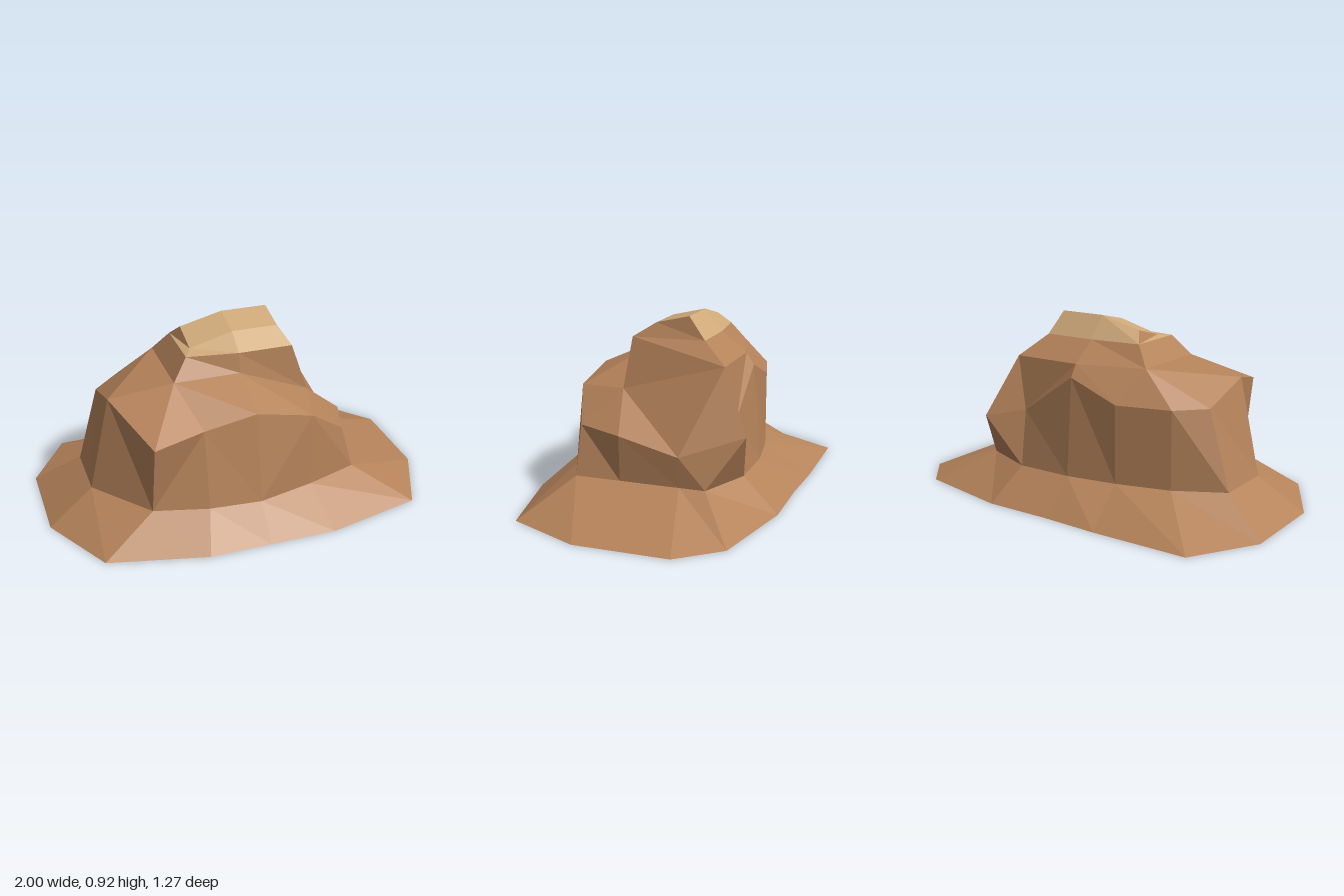
import * as THREE from 'three';

const rock = new THREE.MeshStandardMaterial({ color: 0xb5835a, side: THREE.DoubleSide, flatShading: true });
rock.name = 'brownRock';
const sand = new THREE.MeshStandardMaterial({ color: 0xd0aa7a, side: THREE.DoubleSide, flatShading: true });
sand.name = 'paleSand';

// Rings run back-left, back, right, front, left; each point is [x, y, z].
const atHeight = (y, points) => points.map(([x, z]) => [x, y, z]);

const foot = atHeight(0, [
  [-1, -0.32], [-0.8, -0.64], [-0.3, -0.64], [0, -0.625], [0.34, -0.625], [0.83, -0.52], [1, -0.32],
  [1, 0.15], [0.83, 0.52], [0.34, 0.635], [0, 0.635], [-0.31, 0.635], [-0.8, 0.52], [-1, 0.15],
]);
const cliffFoot = atHeight(0.16, [
  [-0.77, -0.2], [-0.53, -0.33], [-0.26, -0.4], [0, -0.44], [0.29, -0.44], [0.56, -0.33], [0.56, -0.2],
  [0.56, 0.1], [0.56, 0.33], [0.29, 0.42], [0, 0.49], [-0.26, 0.47], [-0.53, 0.4], [-0.77, 0.1],
]);
const cliffTop = [
  [-0.66, 0.55, -0.2], [-0.53, 0.55, -0.33], [-0.26, 0.55, -0.4], [0, 0.65, -0.4], [0.29, 0.445, -0.4],
  [0.47, 0.41, -0.5], [0.57, 0.31, -0.2], [0.57, 0.385, 0.1], [0.49, 0.4, 0.33], [0.29, 0.55, 0.41],
  [0, 0.61, 0.41], [-0.26, 0.55, 0.39], [-0.53, 0.55, 0.49], [-0.66, 0.645, 0.1],
];
const shoulder = [
  [-0.34, 0.71, -0.26], [0, 0.71, -0.36], [0.36, 0.71, -0.36],
  [0.36, 0.565, 0.16], [0, 0.71, 0.16], [-0.34, 0.71, 0.16],
];
const neck = [
  [-0.26, 0.81, -0.2], [0, 0.81, -0.23], [0.27, 0.81, -0.23],
  [0.28, 0.81, 0.14], [0, 0.81, 0.14], [-0.26, 0.81, 0.1],
];
const crest = [
  [-0.22, 0.865, -0.14], [0, 0.92, -0.14], [0.24, 0.92, -0.14],
  [0.24, 0.88, 0.03], [0, 0.88, 0.03], [-0.22, 0.82, 0.03],
];
// Which shoulder corner each cliff column meets
const columns = [0, 0, 0, 1, 2, 2, 2, 3, 3, 3, 4, 5, 5, 5];

// Triangles between two rings; segments in `flip` use the other diagonal.
function band(lower, upper, flip = []) {
  const triangles = [];
  lower.forEach((l0, i) => {
    const j = (i + 1) % lower.length;
    const l1 = lower[j], u0 = upper[i], u1 = upper[j];
    if (flip.includes(i)) triangles.push([l0, u0, l1], [l1, u0, u1]);
    else triangles.push([l0, u0, u1], [l0, u1, l1]);
  });
  return triangles.filter(([a, b, c]) => a !== b && b !== c && a !== c);
}

function facets(name, triangles, material) {
  const geometry = new THREE.BufferGeometry();
  geometry.setAttribute('position', new THREE.Float32BufferAttribute(triangles.flat(2), 3));
  geometry.computeVertexNormals();
  const mesh = new THREE.Mesh(geometry, material);
  mesh.name = name;
  return mesh;
}

export function createModel() {
  const group = new THREE.Group();
  group.name = 'mesa';

  // Sloping skirt, steep cliff and the shoulders above it
  group.add(facets('skirt', band(foot, cliffFoot), rock));
  group.add(facets('cliff', band(cliffFoot, cliffTop, [9, 11]), rock));
  group.add(facets('shoulder', band(cliffTop, columns.map((c) => shoulder[c]), [3]), rock));
  group.add(facets('upperSlope', band(shoulder, neck), rock));

  // Summit: pale sides, with rock showing at the right end and a chip at the left
  const sides = band(neck, crest, [5]);
  const isRock = (i) => i === 4 || i === 5 || i === 11;
  group.add(facets('summitEnds', sides.filter((_, i) => isRock(i)), rock));
  group.add(facets('summitSides', sides.filter((_, i) => !isRock(i)), sand));

  // Summit top: two quads split along the middle
  const [a, b, c, d, e, f] = crest;
  group.add(facets('summitTop', [[a, f, e], [a, e, b], [b, e, d], [b, d, c]], sand));
  return group;
}
